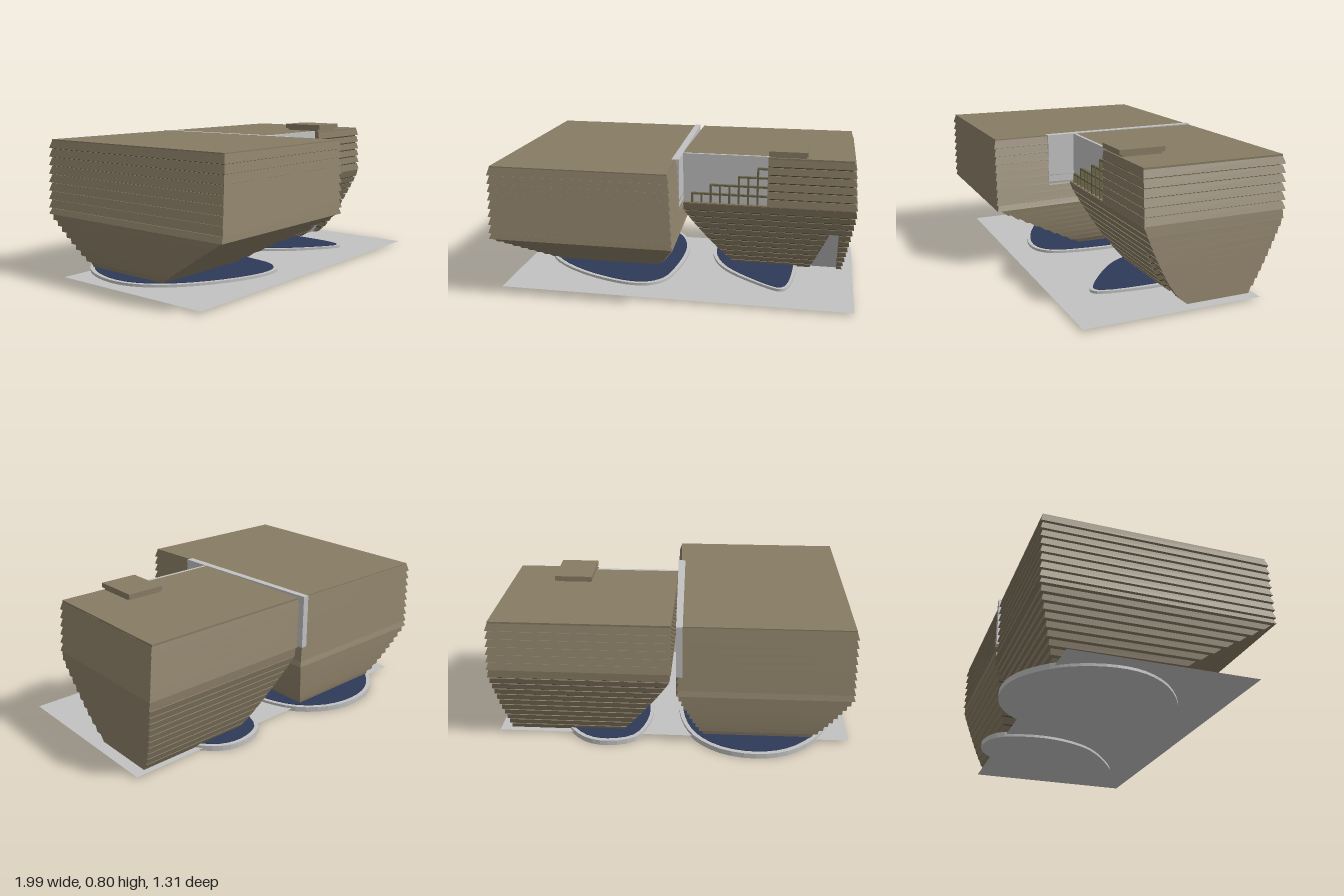
import * as THREE from 'three';
import { mergeGeometries } from 'three/addons/utils/BufferGeometryUtils.js';

const paint = (name, color, side = THREE.FrontSide) => {
  const m = new THREE.MeshStandardMaterial({ color, side });
  m.name = name;
  return m;
};
const lerp = THREE.MathUtils.lerp;
const clamp01 = (t) => Math.min(1, Math.max(0, t));

// Solid between two [x, z] outlines (same point count, counterclockwise from above)
function loft(lower, upper, y0, y1) {
  const pos = [], n = lower.length;
  const put = (p, y) => pos.push(p[0], y, p[1]);
  for (let i = 0; i < n; i++) {
    const j = (i + 1) % n;
    put(lower[i], y0); put(lower[j], y0); put(upper[j], y1);
    put(lower[i], y0); put(upper[j], y1); put(upper[i], y1);
  }
  const flat = (ps) => ps.map(([x, z]) => new THREE.Vector2(x, -z));
  for (const [ps, y, up] of [[upper, y1, true], [lower, y0, false]]) {
    for (const [a, b, c] of THREE.ShapeUtils.triangulateShape(flat(ps), [])) {
      const [A, B, C] = [ps[a], ps[b], ps[c]];
      const ccw = (B[0] - A[0]) * (A[1] - C[1]) - (A[1] - B[1]) * (C[0] - A[0]) > 0;
      put(A, y);
      if (ccw === up) { put(B, y); put(C, y); } else { put(C, y); put(B, y); }
    }
  }
  const g = new THREE.BufferGeometry();
  g.setAttribute('position', new THREE.Float32BufferAttribute(pos, 3));
  g.computeVertexNormals();
  return g;
}

const box = (x0, x1, y0, y1, z0, z1) =>
  new THREE.BoxGeometry(x1 - x0, y1 - y0, z1 - z0).translate((x0 + x1) / 2, (y0 + y1) / 2, (z0 + z1) / 2);

// Outline of the large hall at height y, pushed outward by o
function hallPlan(y, o) {
  const t = clamp01((y - 0.03) / 0.325), c = Math.pow(t, 0.82);
  const bulge = 0.018 * clamp01((0.76 - y) / 0.4) * t;
  const xl = lerp(-0.785, -0.965, c) - bulge, xr = lerp(-0.195, -0.003, c) + bulge;
  const zf = lerp(0.06, 0.64, t), zb = lerp(-0.47, -0.6, c);
  return [[xl + 0.01 - o, zb - o], [xl - o, zf + o], [xr + o, zf + o], [xr - 0.062 * c + o, zb - o]];
}

// Front line of the small hall
const frontZ = (y) => -0.08 + 0.28 * Math.pow(clamp01((y - 0.02) / 0.45), 0.7);

// Outline of the small hall below the terrace, with an entrance notch near the ground
function basePlan(y, o, notched) {
  const t = clamp01((y - 0.02) / 0.41), q = Math.min(0, o);
  const xl = 0.28 * Math.pow(1 - t, 1.1) - q * 0.4, xr = lerp(0.91, 0.972, t) + o;
  const zf = frontZ(y) + q * 0.4, zb = lerp(-0.45, -0.6, Math.pow(t, 0.8)) - q * 0.4;
  const s = lerp(0.73, 0.835, clamp01((y - 0.03) / 0.27));
  const notch = notched ? [[s, zf], [s, zf - 0.1], [0.89, zf - 0.1], [0.89, zf]] : [];
  return [[xl, -0 + zb], [xl, zf], ...notch, [xr, zf], [xr, zb]];
}

// Outline of the small hall above the terrace
function upperPlan(y, o) {
  const xr = lerp(0.97, 0.948, clamp01((y - 0.48) / 0.28)) + o;
  return [[-0.008, -0.598 - o], [-0.008, 0.155], [0.48, 0.155], [0.48, 0.195 + o * 0.5], [xr, 0.195 + o * 0.5], [xr, -0.598 - o]];
}

// Stack of boards with recessed joints
function boards(plan, y0, y1, count, flare, inset, gap) {
  const strips = [], joints = [], h = (y1 - y0) / count;
  for (let i = 0; i < count; i++) {
    const a = y0 + i * h, b = a + h * (1 - gap), c = a + h;
    const notched = c <= 0.315;
    strips.push(loft(plan(a, flare, notched), plan(b, 0, notched), a, b));
    joints.push(loft(plan(b, -inset, notched), plan(c, -inset, notched), b, c));
  }
  return { strips, joints };
}

export function createModel() {
  const model = new THREE.Group();
  const tan = paint('tanBoards', 0x877b64);
  const dark = paint('darkJoints', 0x49432f);
  const grey = paint('paleGrey', 0xc2c2c2, THREE.DoubleSide);
  const blue = paint('deepBlueWater', 0x2e3a59);
  const olive = paint('oliveFrame', 0x6e674a);
  const add = (name, geos, mat) => {
    const list = [].concat(geos);
    const mesh = new THREE.Mesh(list.length > 1 ? mergeGeometries(list) : list[0], mat);
    mesh.name = name;
    model.add(mesh);
  };

  // Ground sheet
  add('ground', new THREE.PlaneGeometry(1.985, 1).rotateX(-Math.PI / 2).translate(-0.0075, 0.015, 0.02), grey);

  // Pools: grey basin with a water sheet
  const pools = {
    large: [[-0.475, -0.66], [-0.65, -0.62], [-0.8, -0.5], [-0.88, -0.37], [-0.92, -0.2], [-0.9, -0.05], [-0.8, 0.11],
      [-0.6, 0.26], [-0.38, 0.35], [-0.25, 0.37], [-0.16, 0.35], [-0.09, 0.28], [-0.05, 0.12], [-0.03, -0.13],
      [-0.05, -0.32], [-0.13, -0.5], [-0.28, -0.62]],
    small: [[0.35, -0.58], [0.2, -0.53], [0.13, -0.38], [0.12, -0.2], [0.18, -0.02], [0.27, 0.1], [0.45, 0.245],
      [0.54, 0.3], [0.575, 0.31], [0.61, 0.285], [0.65, 0.05], [0.65, -0.2], [0.6, -0.42], [0.48, -0.55]],
  };
  for (const [name, pts] of Object.entries(pools)) {
    const fine = new THREE.CatmullRomCurve3(pts.map(([x, z]) => new THREE.Vector3(x, 0, z)), true)
      .getPoints(pts.length * 3).slice(0, -1).map((p) => [p.x, p.z]);
    const cx = fine.reduce((s, p) => s + p[0], 0) / fine.length;
    const cz = fine.reduce((s, p) => s + p[1], 0) / fine.length;
    const inner = fine.map(([x, z]) => {
      const k = 1 - 0.024 / Math.hypot(x - cx, z - cz);
      return [cx + (x - cx) * k, cz + (z - cz) * k];
    });
    add(name + 'PoolBasin', loft(fine, fine, 0, 0.03), grey);
    add(name + 'PoolWater', loft(inner, inner, 0.03, 0.033), blue);
  }

  // Large hall: tapering boards below, straight boards above
  const low = boards(hallPlan, 0.03, 0.387, 10, 0.014, 0.012, 0.14);
  const high = boards(hallPlan, 0.387, 0.7605, 8, 0.012, 0.006, 0.09);
  const hallCap = loft(hallPlan(0.757, 0), hallPlan(0.76, 0), 0.724, 0.762);
  add('largeHallBoards', [...low.strips, ...high.strips, hallCap], tan);
  add('largeHallJoints', [...low.joints, ...high.joints], dark);

  // Small hall: undercut base, terrace band and upper storey
  const base = boards(basePlan, 0.018, 0.43, 10, 0.012, 0.02, 0.16);
  const band = boards(basePlan, 0.43, 0.48, 1, 0.01, 0.01, 0.1);
  const upper = boards(upperPlan, 0.48, 0.76, 6, 0.012, 0.01, 0.17);
  const floor = loft(basePlan(0.48, -0.002), basePlan(0.48, -0.002), 0.474, 0.481);
  const roof = loft(upperPlan(0.76, 0), upperPlan(0.76, 0), 0.75, 0.762);
  add('smallHallBoards', [...base.strips, ...band.strips, ...upper.strips, floor, roof], tan);
  add('smallHallJoints', [...base.joints, ...band.joints, ...upper.joints], dark);

  // Entrance panel set back in the notch
  const z0 = frontZ(0.03) - 0.04, z1 = frontZ(0.3) - 0.04;
  add('entrancePanel', loft(
    [[0.725, z0 - 0.008], [0.725, z0], [0.89, z0], [0.89, z0 - 0.008]],
    [[0.83, z1 - 0.008], [0.83, z1], [0.89, z1], [0.89, z1 - 0.008]], 0.02, 0.3), grey);

  // Rooftop hatch
  add('roofHatch', [box(0.49, 0.69, 0.76, 0.775, -0.04, 0.185), box(0.483, 0.697, 0.774, 0.8, -0.057, 0.202)], tan);

  // Pale walls of the terrace and of the slot between the halls
  add('terraceWall', box(-0.02, 0.48, 0.48, 0.762, 0.153, 0.172), grey);
  const slot = [[-0.07, -0.615], [-0.04, 0.33], [0.002, 0.33], [-0.036, -0.615]];
  add('slotWall', loft(slot, slot, 0.47, 0.764), grey);

  // Stepped lattice on the terrace
  const cell = 0.0535, bar = 0.005, bars = [];
  const steps = [1, 1, 2, 2, 2, 3, 3, 4];
  steps.forEach((n, i) => {
    const x = 0.05 + i * cell;
    bars.push(box(x - bar, x + bar, 0.48, 0.48 + n * cell + bar, 0.174, 0.194));
    for (let k = 1; k <= n; k++) {
      const y = 0.48 + k * cell;
      bars.push(box(x - bar, x + cell + bar, y - bar, y + bar, 0.175, 0.193));
    }
  });
  add('steppedLattice', bars, olive);

  return model;
}
